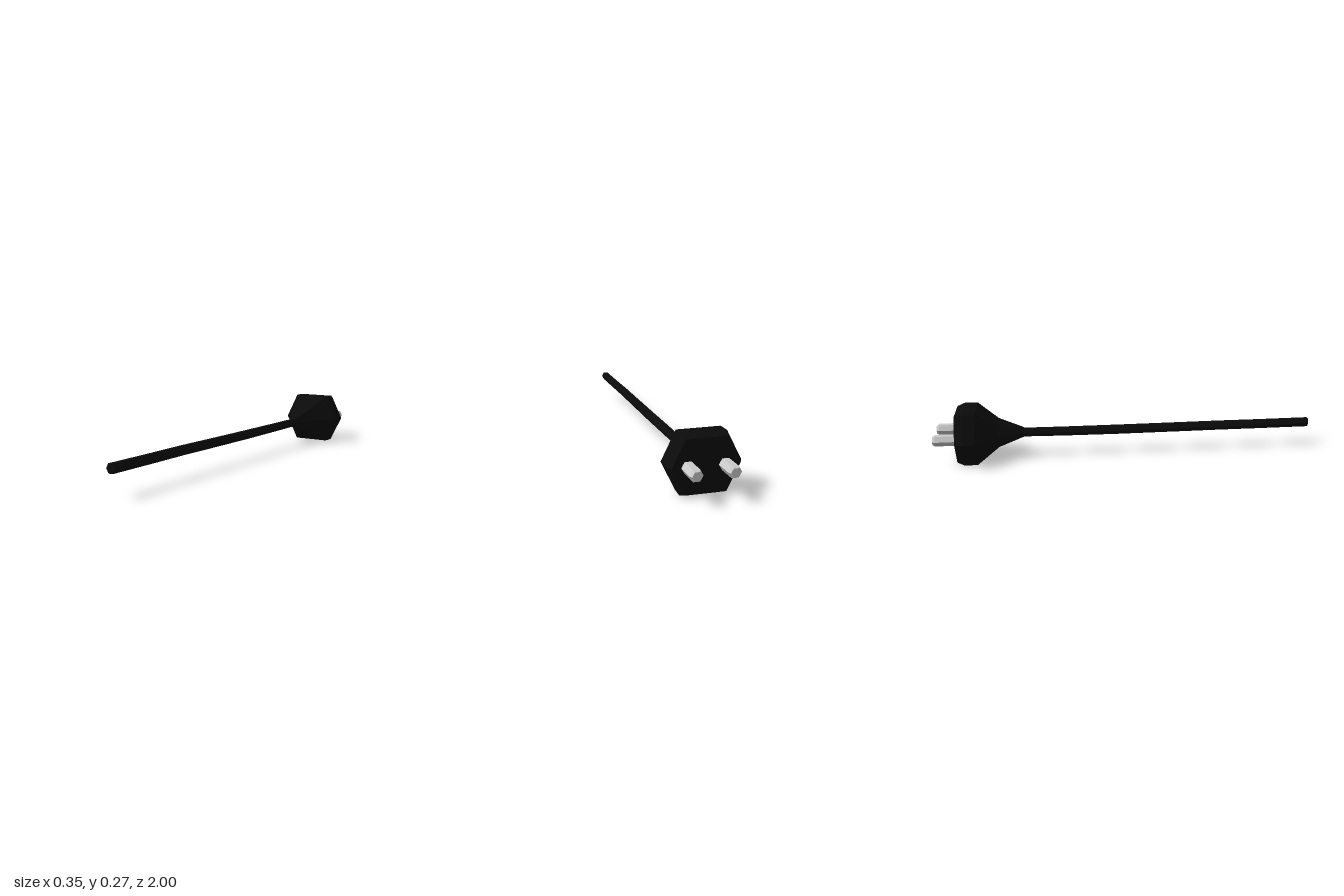
import * as THREE from 'three';

// Flat-shaded hexagonal loft along z, capped at both ends.
// Each station: [z, centreX, centreY, halfWidth, halfHeight]; flat = top edge width ratio.
function hexLoft(name, stations, flat, material) {
  const corners = [[1, 0], [flat, 1], [-flat, 1], [-1, 0], [-flat, -1], [flat, -1]];
  const positions = [];
  const index = [];
  for (const [z, cx, cy, hw, hh] of stations) {
    for (const [u, v] of corners) positions.push(cx + u * hw, cy + v * hh, z);
  }
  for (let s = 0; s < stations.length - 1; s++) {
    for (let i = 0; i < 6; i++) {
      const a = s * 6 + i;
      const b = s * 6 + ((i + 1) % 6);
      index.push(a, b, b + 6, a, b + 6, a + 6);
    }
  }
  const last = (stations.length - 1) * 6;
  for (let i = 1; i < 5; i++) {
    index.push(0, i + 1, i);
    index.push(last, last + i, last + i + 1);
  }
  const indexed = new THREE.BufferGeometry();
  indexed.setAttribute('position', new THREE.Float32BufferAttribute(positions, 3));
  indexed.setIndex(index);
  const geometry = indexed.toNonIndexed();
  geometry.computeVertexNormals();
  const mesh = new THREE.Mesh(geometry, material);
  mesh.name = name;
  return mesh;
}

export function createModel() {
  const model = new THREE.Group();
  model.name = 'powerPlug';
  const rubber = new THREE.MeshStandardMaterial({ color: 0x0b0b0b, flatShading: true });
  const metal = new THREE.MeshStandardMaterial({ color: 0xcccccc, flatShading: true });
  const midY = 0.137;

  // Plug body: bevelled back face, widest band, then a taper to the cord
  model.add(hexLoft('plugBody', [
    [-0.885, 0, midY, 0.154, 0.123],
    [-0.845, 0, midY, 0.174, 0.137],
    [-0.78, 0, midY, 0.169, 0.137],
    [-0.67, 0, midY, 0.074, 0.065],
    [-0.54, 0, 0.135, 0.026, 0.021],
  ], 0.6, rubber));

  // Cord: slightly wavering hexagonal tube
  model.add(hexLoft('cord', [
    [-0.56, 0, 0.134, 0.025, 0.02],
    [-0.33, -0.003, 0.132, 0.025, 0.021],
    [-0.05, -0.004, 0.131, 0.024, 0.022],
    [0.3, -0.005, 0.132, 0.024, 0.022],
    [0.5, -0.006, 0.133, 0.024, 0.022],
    [0.73, -0.005, 0.132, 0.023, 0.022],
    [1, -0.004, 0.132, 0.024, 0.022],
  ], 0.5, rubber));

  // Two contact pins with chamfered tips
  for (const [name, x] of [['leftPin', 0.082], ['rightPin', -0.085]]) {
    model.add(hexLoft(name, [
      [-1, x, midY, 0.023, 0.02],
      [-0.987, x, midY, 0.03, 0.026],
      [-0.87, x, midY, 0.03, 0.026],
    ], 0.5, metal));
  }
  return model;
}
